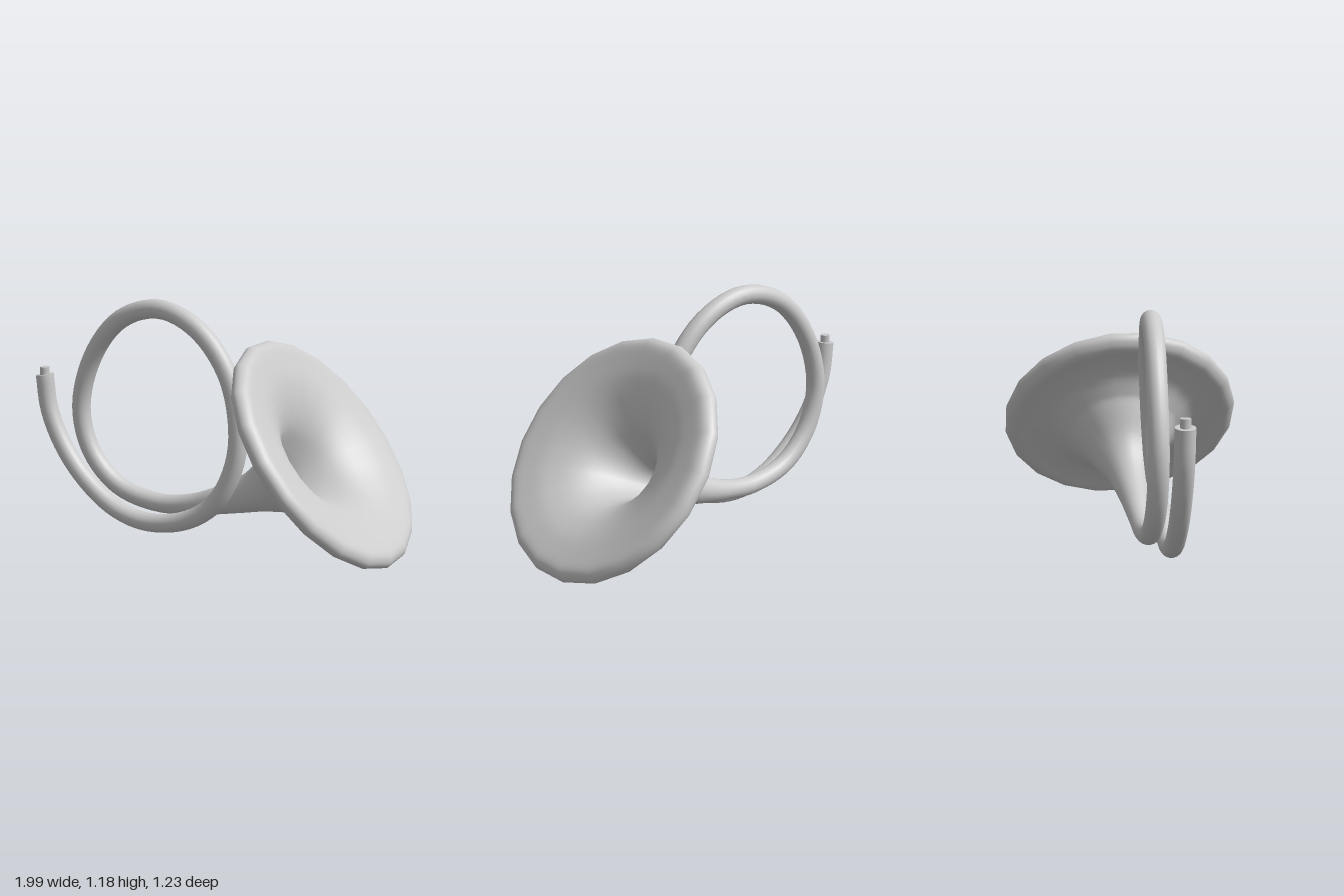
import * as THREE from 'three';

const SIDES = 20;

// Centre line from the mouth end, round one loop, to the middle of the bell's rim
const path = new THREE.CatmullRomCurve3([
  [-0.953, 0.76, 0.08], [-0.93, 0.58, 0.08], [-0.85, 0.4, 0.083], [-0.72, 0.24, 0.09],
  [-0.53, 0.105, 0.1], [-0.33, 0.058, 0.11], [-0.1, 0.1, 0.12], [0.06, 0.205, 0.12],
  [0.155, 0.37, 0.11], [0.187, 0.57, 0.1], [0.12, 0.85, 0.08], [-0.06, 1.06, 0.055],
  [-0.29, 1.142, 0.03], [-0.53, 1.07, 0.01], [-0.71, 0.86, -0.005], [-0.79, 0.58, -0.01],
  [-0.73, 0.35, -0.01], [-0.57, 0.19, -0.01], [-0.33, 0.13, -0.008], [-0.12, 0.152, -0.004],
  [0.02, 0.19, 0], [0.2, 0.255, 0], [0.361, 0.335, 0], [0.5, 0.434, 0], [0.6, 0.51, 0],
].map(p => new THREE.Vector3(...p)));
path.arcLengthDivisions = 600;

// [distance from the rim plane, radius]: outside of the bell, rolled lip, inside of the bell
const bellProfile = [
  [-1, 0.049], [-0.85, 0.052], [-0.7, 0.066], [-0.55, 0.085], [-0.41, 0.115], [-0.27, 0.18],
  [-0.145, 0.267], [-0.1, 0.315], [-0.055, 0.39], [-0.042, 0.49], [-0.048, 0.565],
  [-0.028, 0.605], [0, 0.622], [0.03, 0.612], [0.05, 0.575], [0.042, 0.5], [0.02, 0.4],
  [-0.03, 0.29], [-0.1, 0.205], [-0.2, 0.137], [-0.3, 0.09], [-0.42, 0.055], [-0.6, 0.02],
];

// Sweep rings of changing radius along the path
function sweep(stations) {
  const length = path.getLength();
  const pos = [], index = [];
  stations.forEach(([d, r], i) => {
    const t = THREE.MathUtils.clamp(1 + d / length, 0, 1);
    const T = path.getTangentAt(t);
    const c = path.getPointAt(t).addScaledVector(T, Math.max(d, 0));
    const B = new THREE.Vector3(0, 0, 1).addScaledVector(T, -T.z).normalize();
    const N = T.clone().cross(B);
    for (let j = 0; j < SIDES; j++) {
      const a = (j + 0.5) / SIDES * Math.PI * 2;
      const p = c.clone().addScaledVector(B, r * Math.cos(a)).addScaledVector(N, r * Math.sin(a));
      pos.push(p.x, p.y, p.z);
      if (i === 0) continue;
      const k = (j + 1) % SIDES, lo = (i - 1) * SIDES, hi = i * SIDES;
      index.push(lo + j, lo + k, hi + j, lo + k, hi + k, hi + j);
    }
  });
  const geo = new THREE.BufferGeometry();
  geo.setAttribute('position', new THREE.Float32BufferAttribute(pos, 3));
  geo.setIndex(index);
  geo.computeVertexNormals();
  return geo;
}

export function createModel() {
  const group = new THREE.Group();
  group.name = 'horn';
  const material = new THREE.MeshStandardMaterial({ color: 0xcccccc, side: THREE.DoubleSide });
  const add = (name, geo, x = 0, y = 0, z = 0) => {
    const mesh = new THREE.Mesh(geo, material);
    mesh.name = name;
    mesh.position.set(x, y, z);
    group.add(mesh);
    return mesh;
  };

  // Even tube for the loop, then the flaring bell in one continuous surface
  const length = path.getLength();
  const stations = [];
  for (let i = 0; i < 90; i++) stations.push([-length + (length - 1) * i / 90, 0.047 + 0.002 * i / 90]);
  const flare = new THREE.SplineCurve(bellProfile.map(p => new THREE.Vector2(...p)));
  for (let i = 0; i <= 88; i++) stations.push(flare.getPoint(i / 88).toArray());
  add('tubeAndBell', sweep(stations));

  // Closed tube end with a short mouth stub
  const end = path.getPointAt(0);
  const cap = add('tubeEnd', new THREE.CircleGeometry(0.047, SIDES), end.x, end.y, end.z);
  cap.quaternion.setFromUnitVectors(new THREE.Vector3(0, 0, 1), path.getTangentAt(0).negate());
  add('mouthStub', new THREE.CylinderGeometry(0.025, 0.025, 0.06, SIDES), end.x, end.y + 0.01, end.z);

  return group;
}
